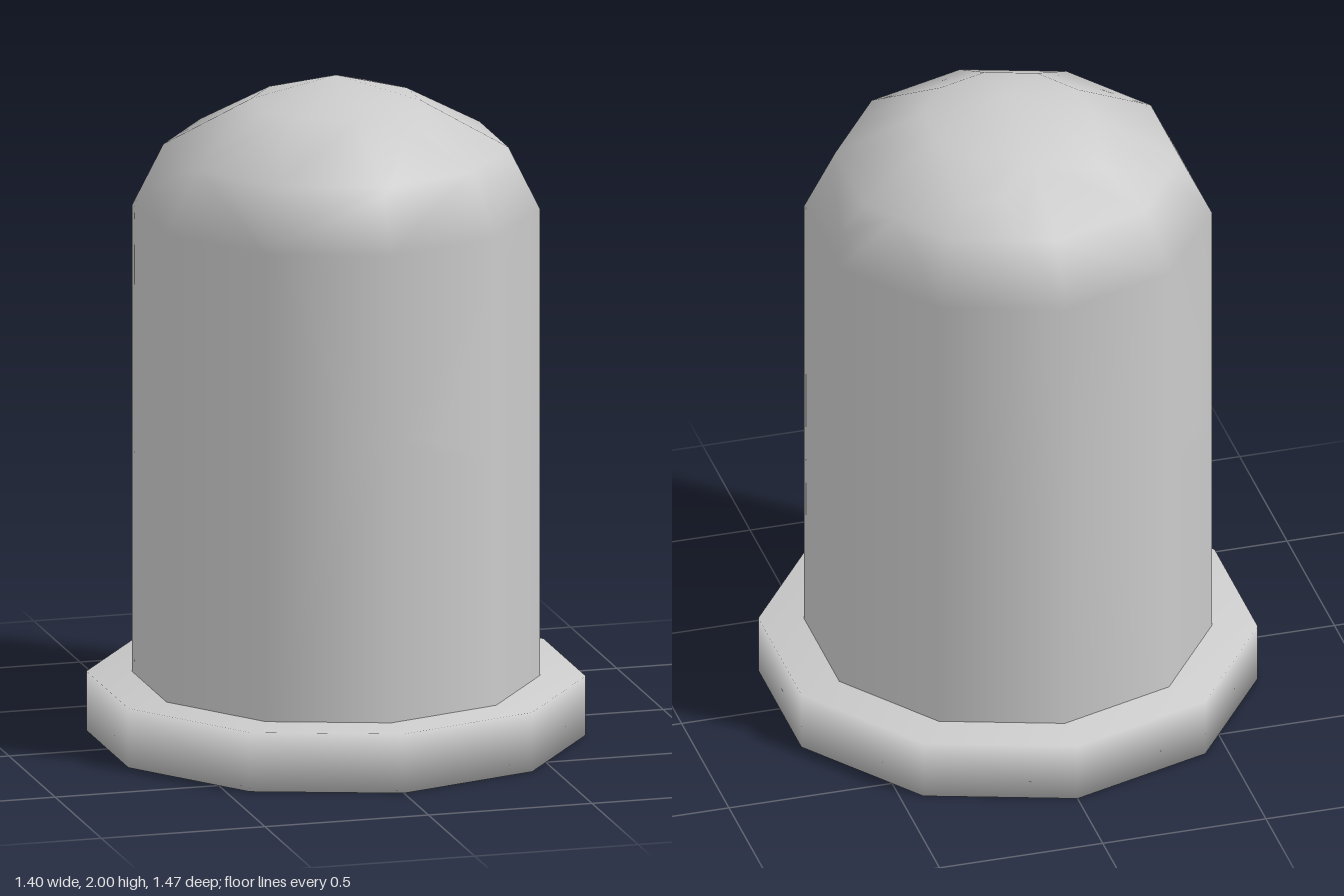
import * as THREE from 'three';
import { ConvexGeometry } from 'three/addons/geometries/ConvexGeometry.js';

const SIDES = 10;
const BOTTOM = 0.18;
// Radius and height up the domed body
const PROFILE = [[0.6, BOTTOM], [0.6, 1.6], [0.508, 1.785], [0.25, 1.925], [0, 2]];

// One cell centre per cracked piece
const SEEDS = {
  lowerFrontShard: [0, 0.42, 0.5],
  lowerBackShard: [0, 0.42, -0.18],
  leftShard: [0.4, 1.45, 0.2],
  rightShard: [-0.4, 1.45, 0.2],
  frontShard: [0.1, 1.6, 0.4],
  frontTopShard: [-0.15, 1.87, 0.4],
  leftTopShard: [0.3, 1.95, 0],
  backLeftShard: [0.3, 1.5, -0.35],
  backRightShard: [-0.2, 1.6, -0.35],
  rightTopShard: [-0.3, 1.98, -0.05],
};

// Facet planes enclosing the whole body
function bodyPlanes() {
  const planes = [new THREE.Plane(new THREE.Vector3(0, -1, 0), BOTTOM)];
  const apothem = Math.cos(Math.PI / SIDES);
  for (let i = 0; i < PROFILE.length - 1; i++) {
    const [r0, y0] = PROFILE[i], [r1, y1] = PROFILE[i + 1];
    for (let k = 0; k < SIDES; k++) {
      const a = ((k + 0.5) / SIDES) * Math.PI * 2;
      const s = Math.sin(a), c = Math.cos(a);
      const rise = y1 - y0, inward = (r0 - r1) * apothem;
      const n = new THREE.Vector3(s * rise, inward, c * rise).normalize();
      const p = new THREE.Vector3(s * r0 * apothem, y0, c * r0 * apothem);
      planes.push(new THREE.Plane().setFromNormalAndCoplanarPoint(n, p));
    }
  }
  return planes;
}

// Corners of the convex region behind all planes
function corners(planes) {
  const found = new Map();
  const m = new THREE.Matrix3();
  for (let i = 0; i < planes.length; i++)
    for (let j = i + 1; j < planes.length; j++)
      for (let k = j + 1; k < planes.length; k++) {
        const [a, b, c] = [planes[i], planes[j], planes[k]];
        m.set(...a.normal.toArray(), ...b.normal.toArray(), ...c.normal.toArray());
        if (Math.abs(m.determinant()) < 1e-5) continue;
        const p = new THREE.Vector3(-a.constant, -b.constant, -c.constant).applyMatrix3(m.invert());
        if (planes.some((q) => q.distanceToPoint(p) > 1e-5)) continue;
        found.set(p.toArray().map((v) => Math.round(v * 2000)).join(), p);
      }
  return [...found.values()];
}

// Smooth normals on the outer skin, flat ones on the crack faces
function smoothSkin(geometry, skin) {
  const pos = geometry.attributes.position, nor = geometry.attributes.normal;
  const v = [0, 1, 2].map(() => new THREE.Vector3());
  for (let i = 0; i < pos.count; i += 3) {
    v.forEach((p, k) => p.fromBufferAttribute(pos, i + k));
    const onSkin = skin.some((q) => v.every((p) => Math.abs(q.distanceToPoint(p)) < 1e-3));
    if (!onSkin) continue;
    v.forEach((p, k) => {
      const n = new THREE.Vector3(p.x / 0.36, Math.max(0, p.y - 1.6) / 0.16, p.z / 0.36).normalize();
      nor.setXYZ(i + k, n.x, n.y, n.z);
    });
  }
}

export function createModel() {
  const model = new THREE.Group();
  model.name = 'crackedDome';
  const material = new THREE.MeshStandardMaterial({ color: 0xcccccc });

  // Ten-sided base plate with soft shading
  const plate = [[0, 0], [0.735, 0], [0.735, BOTTOM], [0, BOTTOM]].map((p) => new THREE.Vector2(...p));
  const base = new THREE.Mesh(new THREE.LatheGeometry(plate, SIDES), material);
  base.name = 'basePlate';
  model.add(base);

  // Domed body split into close-fitting shards
  const body = new THREE.Group();
  body.name = 'domedBody';
  const hull = bodyPlanes();
  const centres = Object.entries(SEEDS).map(([name, p]) => [name, new THREE.Vector3(...p)]);
  for (const [name, centre] of centres) {
    const cuts = centres.filter(([other]) => other !== name).map(([, other]) => {
      const n = other.clone().sub(centre).normalize();
      return new THREE.Plane().setFromNormalAndCoplanarPoint(n, other.clone().lerp(centre, 0.5));
    });
    const points = corners([...hull, ...cuts]);
    if (points.length < 4) continue;
    const geometry = new ConvexGeometry(points);
    smoothSkin(geometry, hull.slice(1));
    const shard = new THREE.Mesh(geometry, material);
    shard.name = name;
    body.add(shard);
  }
  model.add(body);
  return model;
}
